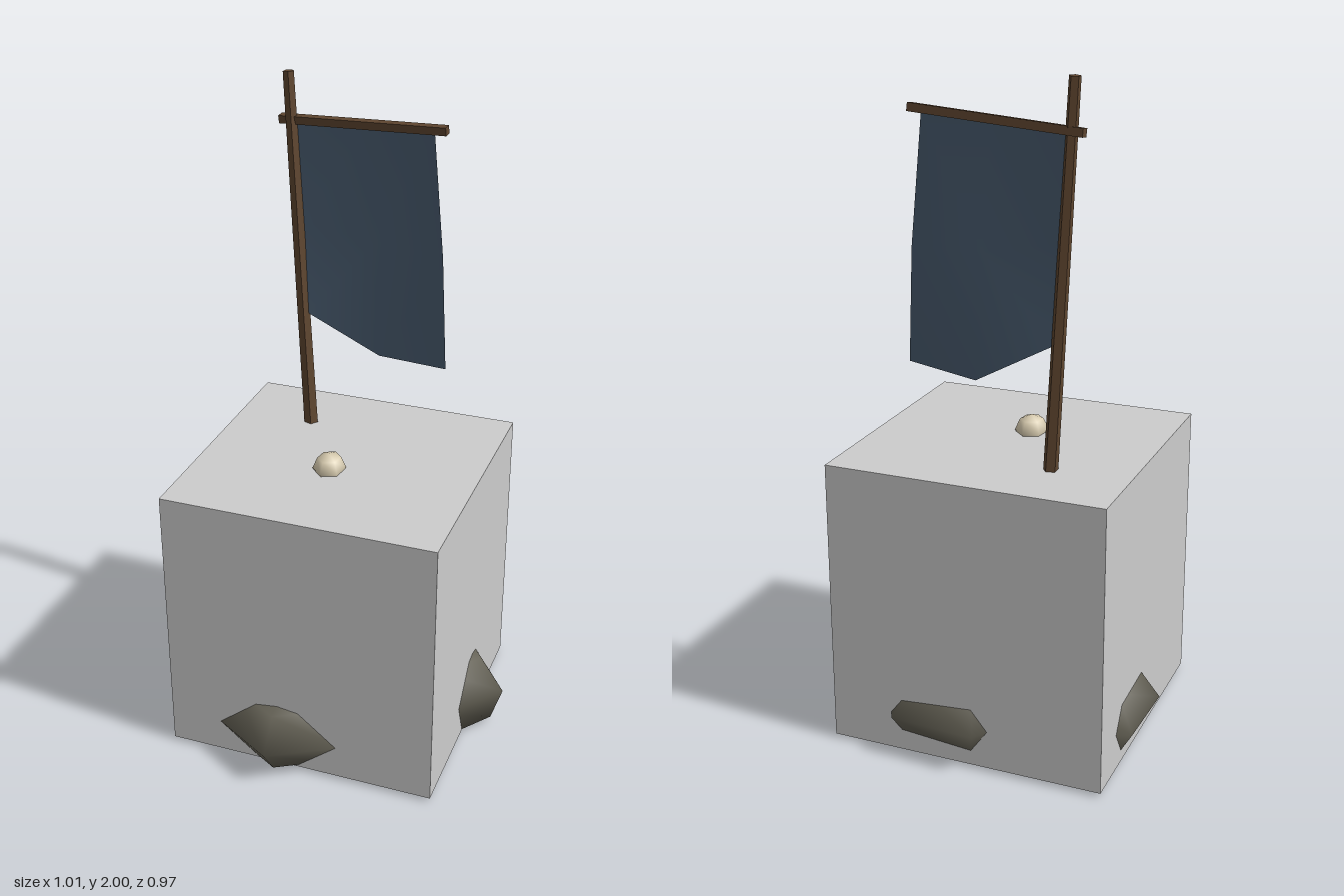
import * as THREE from 'three';

const mat = (name, color, extra = {}) => {
  const m = new THREE.MeshStandardMaterial({ color, ...extra });
  m.name = name;
  return m;
};

export function createModel() {
  const group = new THREE.Group();
  const grey = mat('lightGrey', 0xcccccc);
  const stone = mat('darkStone', 0x625f53);
  const bone = mat('paleStone', 0xd6caae);
  const wood = mat('wood', 0x5f4630, { flatShading: true });
  const cloth = mat('blueCloth', 0x4a5d71, { side: THREE.DoubleSide });

  const add = (name, geometry, material) => {
    const mesh = new THREE.Mesh(geometry, material);
    mesh.name = name;
    group.add(mesh);
    return mesh;
  };

  // Six-sided boulder: squashed sphere with a widened foot and a flat floor
  const rock = (name, material, [x, y, z], [rx, ry, rz], turn, foot = 1, floor = 0) => {
    const g = new THREE.SphereGeometry(1, 6, 4);
    g.rotateY(THREE.MathUtils.degToRad(turn));
    const p = g.attributes.position;
    for (let i = 0; i < p.count; i++) {
      const k = p.getY(i) < -0.3 ? foot : 1;
      p.setXYZ(i, x + p.getX(i) * rx * k, Math.max(floor, y + p.getY(i) * ry), z + p.getZ(i) * rz * k);
    }
    // keep the sphere's smooth shading, adjusted to its stretch
    const n = g.attributes.normal;
    const v = new THREE.Vector3();
    for (let i = 0; i < n.count; i++) {
      v.fromBufferAttribute(n, i).applyAxisAngle(new THREE.Vector3(0, 1, 0), 0);
      v.set(v.x / rx, v.y / ry, v.z / rz).normalize();
      n.setXYZ(i, v.x, v.y, v.z);
    }
    return add(name, g, material);
  };

  // Straight tapered stick between two points
  const stick = (name, a, b, r0, r1, sides, spin) => {
    const from = new THREE.Vector3(...a), to = new THREE.Vector3(...b);
    const dir = to.clone().sub(from);
    const g = new THREE.CylinderGeometry(r1, r0, dir.length(), sides);
    g.rotateY(spin);
    const mesh = add(name, g, wood);
    mesh.position.copy(from).add(to).multiplyScalar(0.5);
    mesh.quaternion.setFromUnitVectors(new THREE.Vector3(0, 1, 0), dir.normalize());
  };

  // Main block
  add('block', new THREE.BoxGeometry(0.85, 0.878, 0.82).translate(-0.03, 0.451, -0.035), grey);

  // Boulders half sunk into the four sides
  rock('frontRock', stone, [-0.1, 0.118, 0.245], [0.24, 0.14, 0.24], 30, 1, 0);
  rock('leftRock', stone, [0.24, 0.128, -0.06], [0.26, 0.16, 0.2], 0, 1.22, 0.014);
  rock('rightRock', stone, [-0.294, 0.125, -0.163], [0.24, 0.15, 0.24], 28, 1, 0.014);
  rock('backRock', stone, [0.045, 0.13, -0.253], [0.265, 0.14, 0.265], -3, 1.05, 0.014);

  // Small pale stone on top
  rock('topPebble', bone, [-0.05, 0.897, 0.04], [0.05, 0.048, 0.057], 20);

  // Leaning pole and crossbar
  stick('pole', [-0.21, 0.8, -0.232], [-0.29, 1.999, -0.279], 0.023, 0.017, 5, 0.3);
  stick('crossbar', [-0.32, 1.855, -0.284], [0.21, 1.887, -0.226], 0.017, 0.017, 4, Math.PI / 4);

  // Hanging banner: three rows of three points, top to bottom
  const rows = [
    [[-0.265, 1.855, -0.277], [-0.045, 1.868, -0.253], [0.172, 1.878, -0.23]],
    [[-0.245, 1.55, -0.262], [-0.02, 1.51, -0.262], [0.205, 1.5, -0.238]],
    [[-0.225, 1.26, -0.245], [0.0, 1.14, -0.268], [0.23, 1.155, -0.215]],
  ];
  const banner = new THREE.BufferGeometry();
  banner.setAttribute('position', new THREE.Float32BufferAttribute(rows.flat(2), 3));
  const index = [];
  for (let r = 0; r < 2; r++) {
    for (let c = 0; c < 2; c++) {
      const a = r * 3 + c;
      index.push(a, a + 3, a + 1, a + 1, a + 3, a + 4);
    }
  }
  banner.setIndex(index);
  banner.computeVertexNormals();
  add('banner', banner, cloth);

  return group;
}
